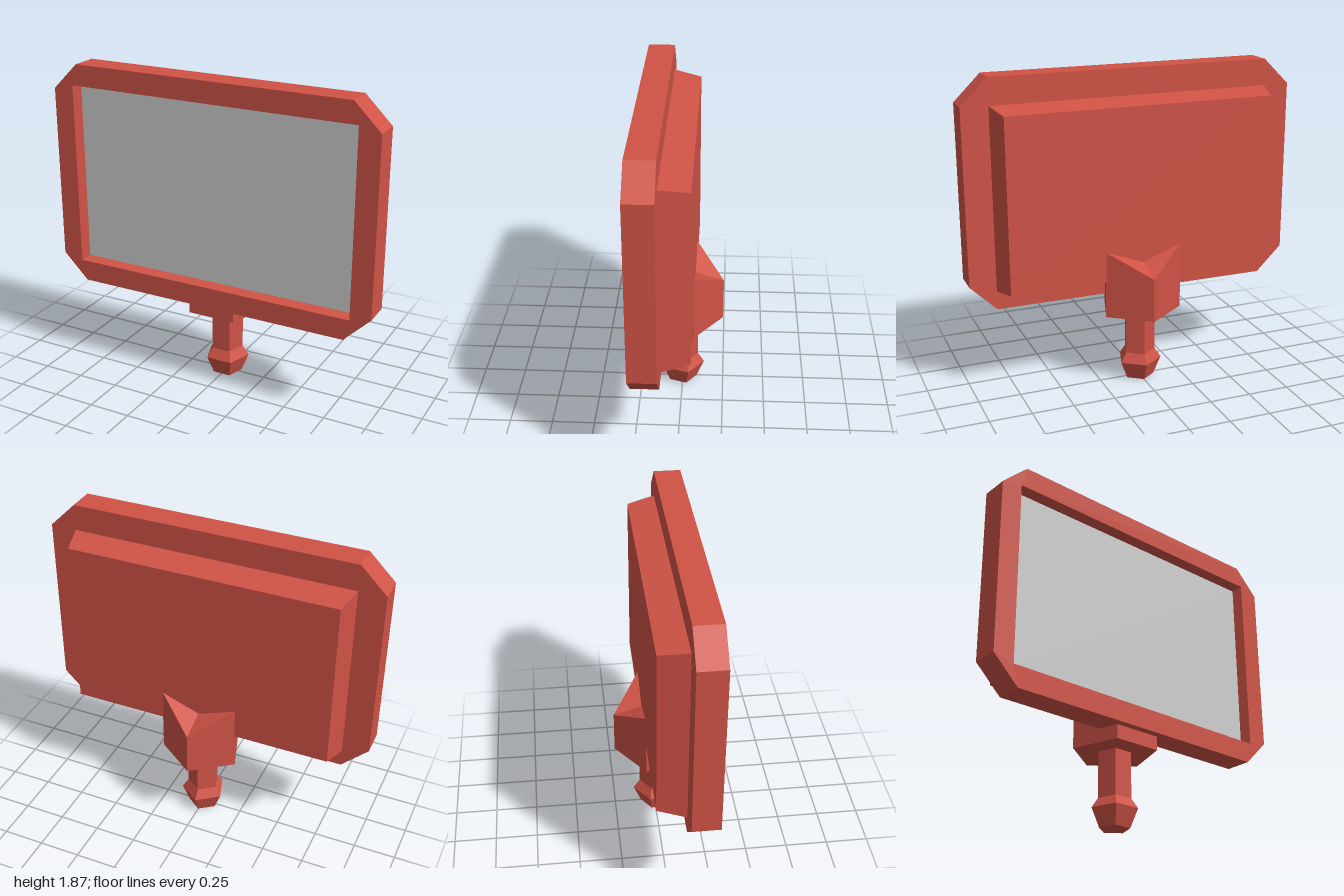
import * as THREE from 'three';

const MID_Y = 1.195; // height of the panel centre

export function createModel() {
  const model = new THREE.Group();
  const red = new THREE.MeshStandardMaterial({ name: 'red casing', color: 0xd05346, flatShading: true });
  const grey = new THREE.MeshStandardMaterial({ name: 'grey panel', color: 0xcfcfcf, flatShading: true });

  const add = (name, geometry, material, x = 0, y = 0, z = 0) => {
    const mesh = new THREE.Mesh(geometry, material);
    mesh.name = name;
    mesh.position.set(x, y, z);
    model.add(mesh);
    return mesh;
  };
  // moves every vertex of a geometry by a rule
  const reshape = (geometry, rule) => {
    const p = geometry.attributes.position;
    const v = new THREE.Vector3();
    for (let i = 0; i < p.count; i++) {
      rule(v.fromBufferAttribute(p, i));
      p.setXYZ(i, v.x, v.y, v.z);
    }
    geometry.computeVertexNormals();
    return geometry;
  };

  // Frame: octagon with a rectangular opening that narrows towards the back
  const W = 1, H = 0.673, CX = 0.843, CY = 0.518;
  const outline = new THREE.Shape([
    [W, -CY], [W, CY], [CX, H], [-CX, H], [-W, CY], [-W, -CY], [-CX, -H], [CX, -H],
  ].map(([x, y]) => new THREE.Vector2(x, y)));
  const HX = 0.875, HY = 0.547;
  outline.holes.push(new THREE.Path(
    [[-HX, -HY], [-HX, HY], [HX, HY], [HX, -HY]].map(([x, y]) => new THREE.Vector2(x, y))));
  const frame = new THREE.ExtrudeGeometry(outline, { depth: 0.16, bevelEnabled: false });
  reshape(frame, (v) => {
    const onHole = Math.abs(v.x) < 0.9 && Math.abs(v.y) < 0.6;
    if (onHole && v.z < 0.01) {
      v.x -= Math.sign(v.x) * 0.053;
      v.y -= Math.sign(v.y) * 0.042;
    }
  });
  add('frame', frame, red, 0, MID_Y, 0.088);

  // Flat panel set into the frame
  add('screen', new THREE.BoxGeometry(1.71, 1.062, 0.008), grey, 0, MID_Y, 0.186);

  // Back cover, tapering to the rear
  const cover = reshape(new THREE.BoxGeometry(1.684, 1.08, 0.165), (v) => {
    if (v.z < 0) {
      v.x = Math.sign(v.x) * 0.802;
      v.y = Math.sign(v.y) * 0.511;
    }
  });
  add('backCover', cover, red, 0, 1.17, 0.0055);

  // Five-sided bracket with a sloping top, pointed to the rear
  const bracket = new THREE.CylinderGeometry(0.2477, 0.2477, 0.4, 5);
  bracket.rotateY(Math.PI);
  reshape(bracket, (v) => {
    if (v.y < 0) v.y = 0.44;
    else if (v.z < -0.2) v.y = 0.7; // rear point
    else if (v.z < -0.05) v.y = 0.843; // against the cover
    else v.y = v.z > 0.1 ? 0.6 : 0.78; // hidden inside the frame
  });
  add('bracket', bracket, red, 0, 0, 0.003);

  // Five-sided stem with a flared foot
  const stem = new THREE.LatheGeometry(
    [[0, 0], [0.09, 0], [0.135, 0.11], [0.097, 0.168], [0.097, 0.45]].map(([r, y]) => new THREE.Vector2(r, y)), 5);
  stem.rotateY(Math.PI);
  add('stem', stem, red, 0, 0, 0.004);

  return model;
}
